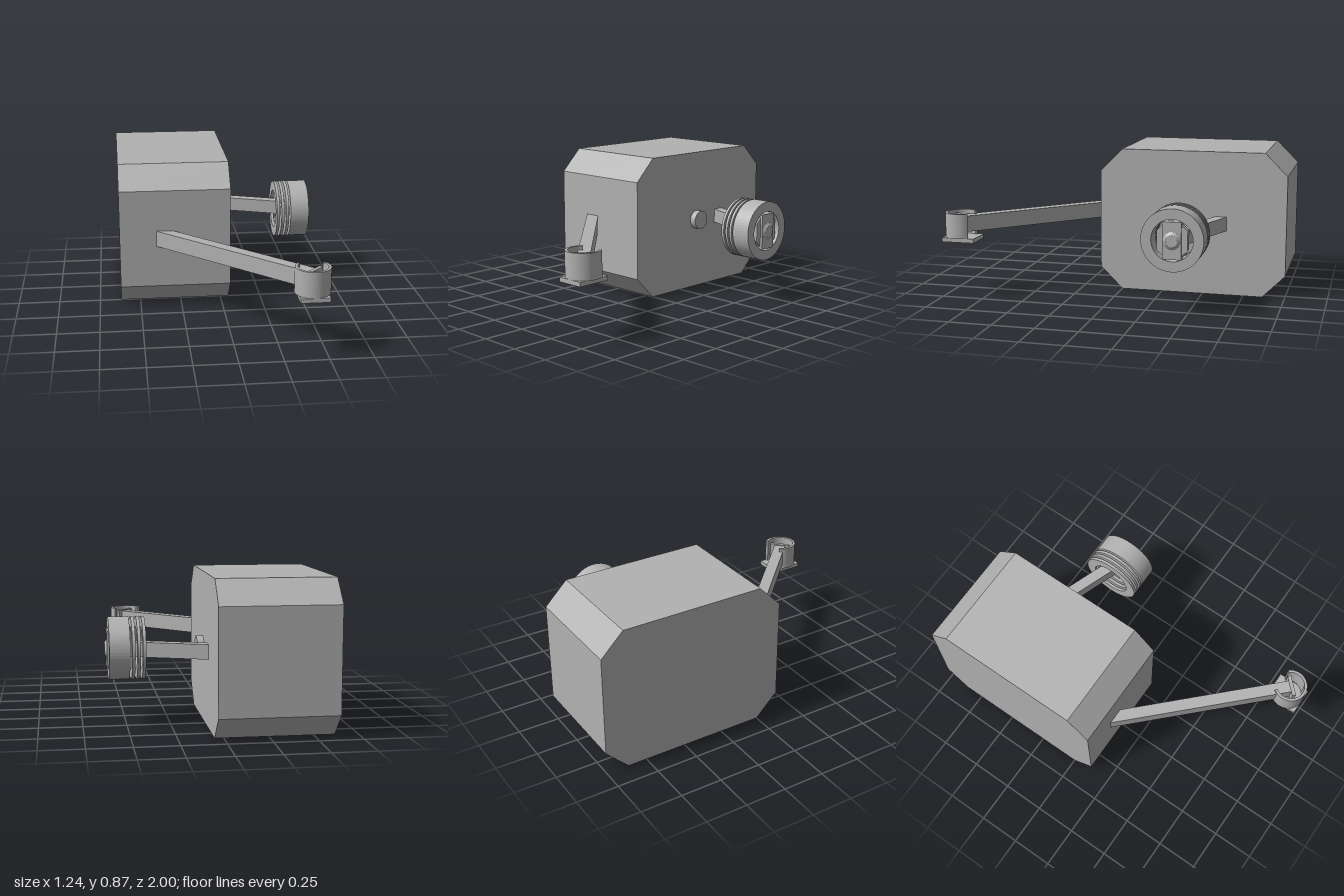
import * as THREE from 'three';

export function createModel() {
  const model = new THREE.Group();
  const grey = new THREE.MeshStandardMaterial({ color: 0xb2b2b2 });
  grey.name = 'plain grey';

  const add = (name, geometry, x = 0, y = 0, z = 0) => {
    const mesh = new THREE.Mesh(geometry, grey);
    mesh.name = name;
    mesh.position.set(x, y, z);
    model.add(mesh);
    return mesh;
  };
  const extrude = (shape, depth) =>
    new THREE.ExtrudeGeometry(shape, { depth, bevelEnabled: false, curveSegments: 32 });
  // Extrudes along +x; the outline is drawn as (-z, y)
  const alongX = (shape, depth) => extrude(shape, depth).rotateY(Math.PI / 2);
  // Extrudes along +y; the outline is drawn as (x, -z)
  const alongY = (shape, depth) => extrude(shape, depth).rotateX(-Math.PI / 2);
  const chamfered = (w, h, c) => new THREE.Shape([
    [-w + c, -h], [w - c, -h], [w, -h + c], [w, h - c],
    [w - c, h], [-w + c, h], [-w, h - c], [-w, -h + c],
  ].map(([x, y]) => new THREE.Vector2(x, y)));
  const ring = (outer, inner) => {
    const shape = new THREE.Shape().absarc(0, 0, outer, 0, Math.PI * 2);
    shape.holes.push(new THREE.Path().absarc(0, 0, inner, 0, Math.PI * 2, true));
    return shape;
  };
  // Level bar between two points given as [x, z]
  const bar = (name, [x0, z0], [x1, z1], y, width, height) => {
    const dx = x1 - x0, dz = z1 - z0;
    const mesh = add(name, new THREE.BoxGeometry(Math.hypot(dx, dz), height, width),
      (x0 + x1) / 2, y, (z0 + z1) / 2);
    mesh.rotation.y = -Math.atan2(dz, dx);
  };

  // Body with four long chamfers
  add('body', alongX(chamfered(0.568, 0.435, 0.135), 0.67), -0.62, 0.435, -0.432);

  // Side button
  add('sideButton', new THREE.CylinderGeometry(0.058, 0.058, 0.05, 32).rotateZ(Math.PI / 2),
    0.065, 0.437, -0.4);

  // Front arm with its crosspiece, open cup and base plate
  bar('frontArm', [-0.38, 0.105], [0.415, 0.9], 0.437, 0.071, 0.096);
  bar('frontArmCrosspiece', [0.375, 0.95], [0.465, 0.86], 0.437, 0.022, 0.11);
  const a = 0.705, b = Math.PI - a;
  const cup = new THREE.Shape();
  cup.absarc(0, 0, 0.1, b, a + Math.PI * 2, false);
  cup.absarc(0, 0, 0.084, a + Math.PI * 2, b, true);
  add('frontCup', alongY(cup, 0.148), 0.412, 0.36, 0.9);
  add('frontCupBase', new THREE.BoxGeometry(0.165, 0.025, 0.2), 0.412, 0.3475, 0.9);

  // Side arm
  bar('sideArm', [0.03, -0.615], [0.57, -0.42], 0.437, 0.066, 0.085);

  // Wheel and its thin fins
  const wy = 0.437, wz = -0.423;
  add('wheel', alongX(ring(0.18, 0.12), 0.117), 0.483, wy, wz);
  for (const x of [0.394, 0.424, 0.454]) add('wheelFin', alongX(ring(0.18, 0.12), 0.018), x, wy, wz);

  // Hub in the wheel opening
  add('hub', alongX(chamfered(0.088, 0.1, 0.045), 0.045), 0.55, wy, wz);
  add('hubPlate', new THREE.BoxGeometry(0.06, 0.214, 0.108), 0.578, wy, wz);
  add('hubCap', new THREE.CylinderGeometry(0.034, 0.054, 0.014, 24).rotateZ(-Math.PI / 2), 0.613, wy, wz);

  return model;
}
